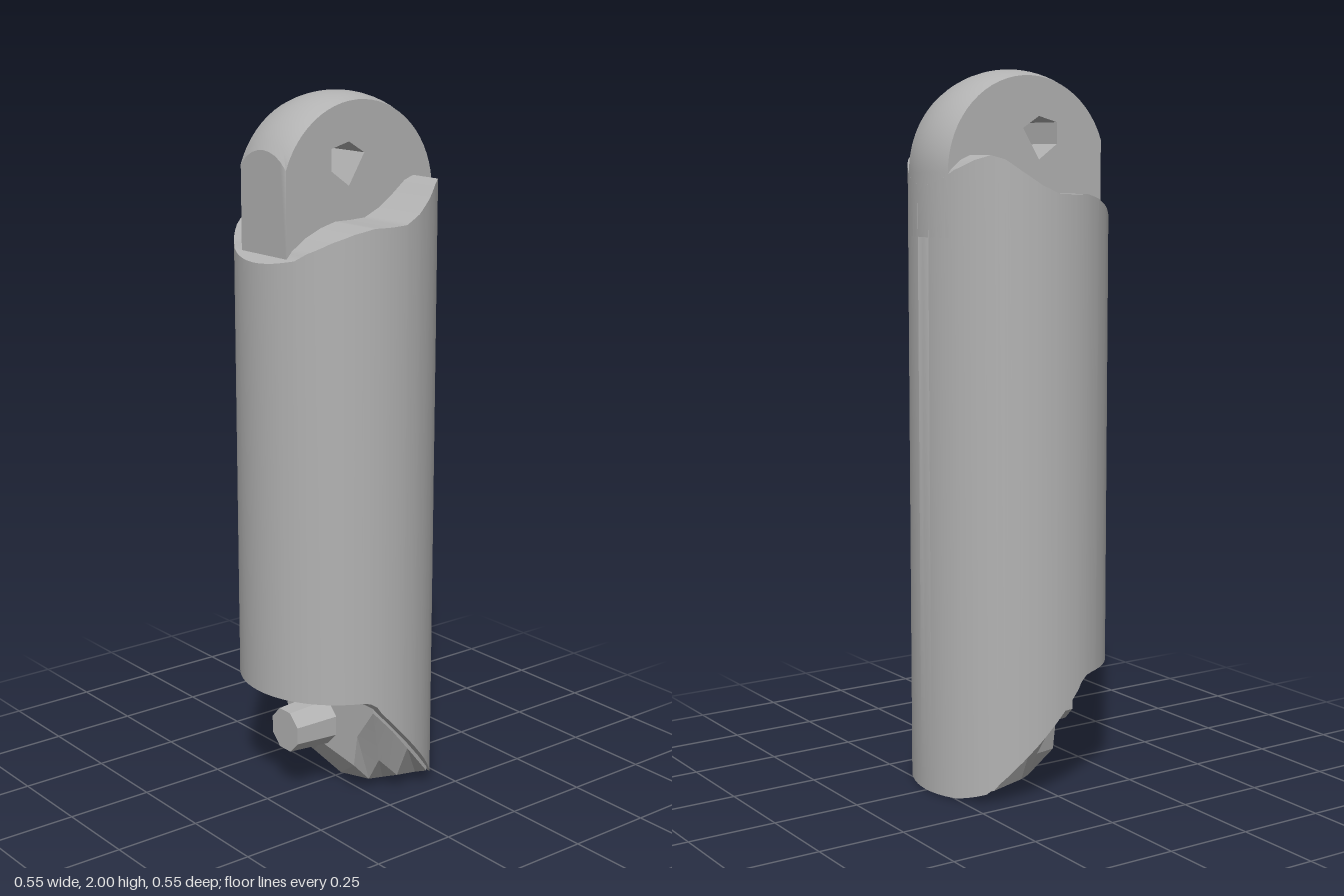
import * as THREE from 'three';
import { toCreasedNormals } from 'three/addons/utils/BufferGeometryUtils.js';

const R = 0.277;        // body radius
const DOME_Y = 1.723;   // centre height of the rounded lug
const LUG = 0.1;        // half thickness of the lug
const LUG_FRONT = 0.243;

// Skin between closed rings of [x, y, z]; rings run counter-clockwise about the direction of travel.
function loft(rings, capped = false) {
  const pos = [];
  const n = rings[0].length;
  const tri = (a, b, c) => pos.push(...a, ...b, ...c);
  for (let i = 0; i < rings.length - 1; i++) {
    for (let j = 0; j < n; j++) {
      const k = (j + 1) % n;
      const a = rings[i][j], b = rings[i][k], c = rings[i + 1][k], d = rings[i + 1][j];
      tri(a, b, c);
      tri(a, c, d);
    }
  }
  if (capped) {
    [rings[0], rings[rings.length - 1]].forEach((ring, end) => {
      const mid = [0, 1, 2].map(q => ring.reduce((s, p) => s + p[q], 0) / n);
      for (let j = 0; j < n; j++) {
        const a = ring[j], b = ring[(j + 1) % n];
        if (end) tri(mid, a, b); else tri(mid, b, a);
      }
    });
  }
  const g = new THREE.BufferGeometry();
  g.setAttribute('position', new THREE.Float32BufferAttribute(pos, 3));
  return g;
}

// Linear lookup in a profile of [z, y] points sorted by z.
function heightAt(profile, z) {
  for (let i = 1; i < profile.length; i++) {
    const [z0, y0] = profile[i - 1], [z1, y1] = profile[i];
    if (z <= z1) return y0 + (y1 - y0) * (z - z0) / (z1 - z0);
  }
  return profile[profile.length - 1][1];
}

// Cylinder whose two ends are cut by side profiles.
function bodyGeometry() {
  const top = [[-R, 1.69], [-0.25, 1.73], [-0.22, 1.755], [-0.19, 1.768], [-0.16, 1.757], [-0.12, 1.725],
    [-0.07, 1.69], [-0.02, 1.667], [0.03, 1.665], [0.08, 1.665], [0.13, 1.652], [0.18, 1.63],
    [0.225, 1.6], [0.243, 1.58], [0.258, 1.573], [R, 1.563]];
  const bottom = [[-R, 0.005], [-0.25, 0.008], [-0.2, 0.03], [-0.135, 0.106], [0.05, 0.305],
    [0.065, 0.327], [0.085, 0.341], [0.11, 0.345], [R, 0.345]];
  const stations = [...top, ...bottom].map(p => p[0]);
  for (let i = 0; i <= 32; i++) stations.push(-R * Math.cos(Math.PI * i / 32));
  const zs = stations.sort((a, b) => a - b).filter((z, i, all) => i === 0 || z - all[i - 1] > 0.0004);
  return toCreasedNormals(loft(zs.map(z => {
    const w = Math.sqrt(Math.max(0, R * R - z * z));
    const t = heightAt(top, z), b = heightAt(bottom, z);
    return [[w, t, z], [-w, t, z], [-w, b, z], [w, b, z]];
  })), 0.6);
}

// Outline of the lug at a given x, as [z, y], counter-clockwise from +x.
function lugOutline(x) {
  const r = Math.sqrt(R * R - x * x);
  const start = Math.acos(LUG_FRONT / r);
  const pts = [[LUG_FRONT, 1.55], [-r, 1.55]];
  for (let i = 0; i <= 28; i++) {
    const a = Math.PI + (start - Math.PI) * i / 28;
    pts.push([r * Math.cos(a), DOME_Y + r * Math.sin(a)]);
  }
  return pts;
}

const HOLE = [[0.093, 1.857], [0.093, 1.798], [0.034, 1.756], [-0.018, 1.841], [0.034, 1.873]];

// Flat cheek of the lug with the hole cut out.
function cheekGeometry(side) {
  const to2 = pts => pts.map(([z, y]) => new THREE.Vector2(-side * z, y));
  const shape = new THREE.Shape(to2(lugOutline(LUG)));
  shape.holes.push(new THREE.Path(to2(HOLE)));
  return new THREE.ShapeGeometry(shape).rotateY(side * Math.PI / 2).translate(side * LUG, 0, 0);
}

// Faceted foot block inside the lower cut-out; half sections run from the outer edge to the middle.
function footGeometry() {
  const sections = [
    [-0.25, [[0.11, 0.03], [0.11, 0.015], [0.07, 0.008], [0.04, 0.006], [0, 0.004]]],
    [-0.18, [[0.2, 0.08], [0.2, 0.04], [0.15, 0.018], [0.09, 0.008], [0, 0.004]]],
    [-0.08, [[0.23, 0.2], [0.23, 0.15], [0.185, 0.05], [0.12, 0.02], [0, 0.004]]],
    [-0.02, [[0.235, 0.28], [0.235, 0.22], [0.175, 0.11], [0.13, 0.035], [0, 0.008]]],
    [0.052, [[0.235, 0.335], [0.235, 0.295], [0.165, 0.2], [0.15, 0.105], [0, 0.125]]],
  ];
  return loft(sections.map(([z, half]) => [
    ...half.map(([x, y]) => [-x, y, z]),
    ...half.slice(0, -1).reverse().map(([x, y]) => [x, y, z]),
  ]), true);
}

export function createModel() {
  const group = new THREE.Group();
  const grey = new THREE.MeshStandardMaterial({ color: 0xb2b2b2 });
  grey.name = 'grey';

  const add = (name, geometry, parent = group) => {
    const mesh = new THREE.Mesh(geometry, grey);
    mesh.name = name;
    parent.add(mesh);
    return mesh;
  };

  add('body', bodyGeometry());

  // Rounded lug with a cross hole
  const lug = new THREE.Group();
  lug.name = 'lug';
  group.add(lug);
  const slices = [-1, -0.75, -0.5, -0.25, 0, 0.25, 0.5, 0.75, 1].map(t => t * LUG);
  add('lugRim', toCreasedNormals(loft(slices.map(x => lugOutline(x).map(([z, y]) => [x, y, z]))), 0.5), lug);
  add('lugCheekLeft', cheekGeometry(1), lug);
  add('lugCheekRight', cheekGeometry(-1), lug);
  const bore = loft([LUG, -LUG].map(x => HOLE.map(([z, y]) => [x, y, z])));
  add('lugBore', toCreasedNormals(bore, 0.3), lug);

  // Foot block and its peg
  add('foot', toCreasedNormals(footGeometry(), 0.25));
  const peg = new THREE.CylinderGeometry(0.064, 0.076, 0.16, 8).rotateY(Math.PI / 8).rotateX(Math.PI / 2);
  add('peg', toCreasedNormals(peg, 0.3)).position.set(0, 0.2, 0.105);

  return group;
}
